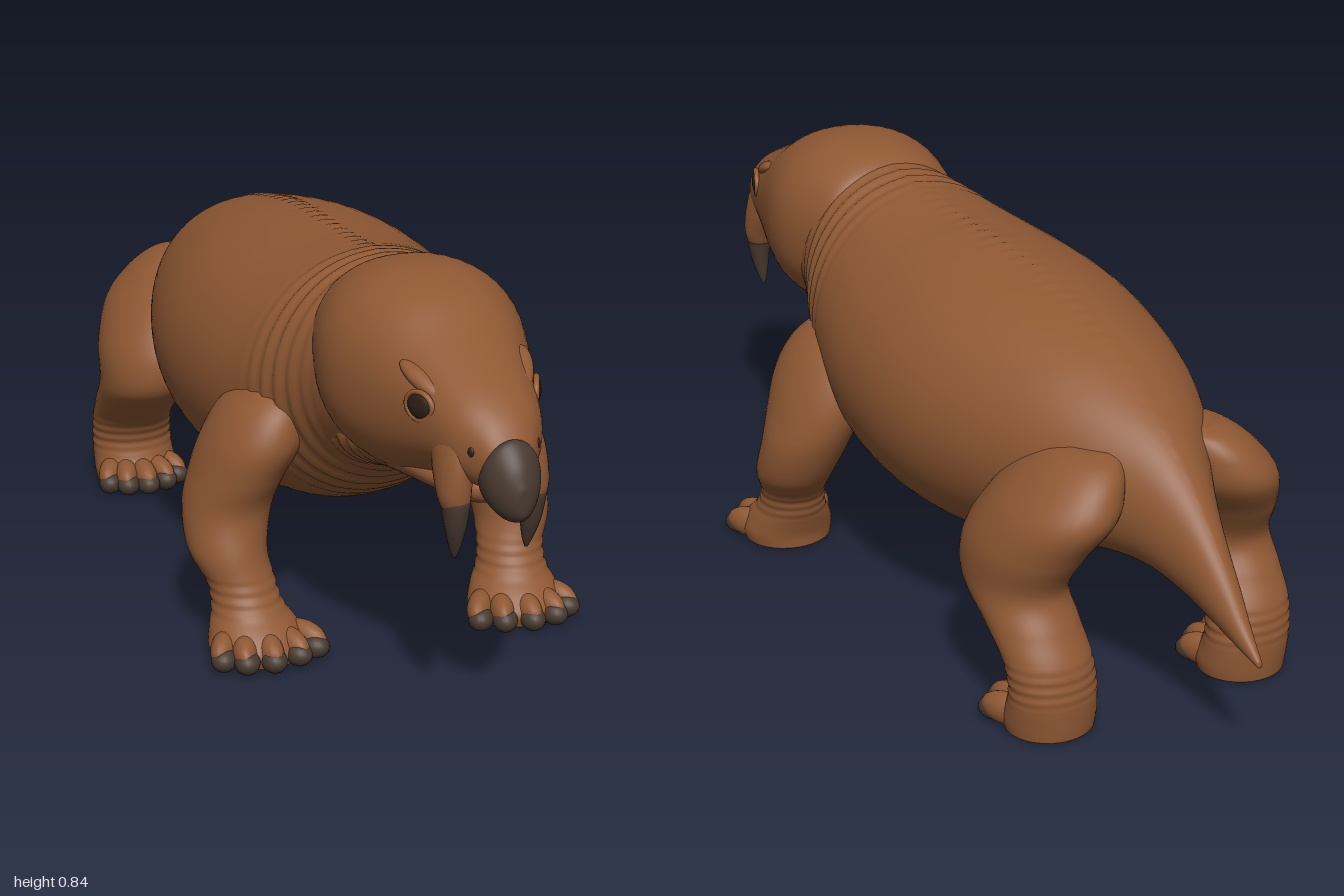
import * as THREE from 'three';

const mat = (name, color) => {
  const m = new THREE.MeshStandardMaterial({ color });
  m.name = name;
  return m;
};

// Smooth interpolation through rows of numbers
function sampleRows(rows, t) {
  const i = Math.min(Math.floor(t), rows.length - 2), f = t - i;
  const p0 = rows[Math.max(i - 1, 0)], p1 = rows[i], p2 = rows[i + 1];
  const p3 = rows[Math.min(i + 2, rows.length - 1)];
  return p1.map((b, k) => {
    const a = p0[k], c = p2[k], d = p3[k];
    return b + 0.5 * f * (c - a + f * (2 * a - 5 * b + 4 * c - d + f * (3 * (b - c) + d - a)));
  });
}

// Closed skin over rounded sections, stacked along z or up y.
// Row: [position on axis, centre x, other centre, radius x, other radius]
function loft(rows, { axis = 'z', segs = 32, steps = 6, power = 2, relief = () => 1 } = {}) {
  const pos = [], index = [];
  const rings = (rows.length - 1) * steps + 1;
  const put = (p, u, v) => (axis === 'z' ? pos.push(u, v, p) : pos.push(u, p, v));
  const round = (v) => Math.sign(v) * Math.pow(Math.abs(v), 2 / power);
  for (let i = 0; i < rings; i++) {
    const [p, cx, cv, rx, rv] = sampleRows(rows, i / steps);
    for (let j = 0; j < segs; j++) {
      const a = (j / segs) * Math.PI * 2, k = relief(p, a);
      const v = round(Math.sin(a)) * rv * k;
      put(p, cx + round(Math.cos(a)) * rx * k, cv + (axis === 'z' ? v : -v));
    }
  }
  for (let i = 0; i < rings - 1; i++) {
    for (let j = 0; j < segs; j++) {
      const a = i * segs + j, b = i * segs + ((j + 1) % segs);
      index.push(a, b, a + segs, b, b + segs, a + segs);
    }
  }
  // End caps
  const first = rows[0], last = rows[rows.length - 1], c = rings * segs;
  put(first[0], first[1], first[2]);
  put(last[0], last[1], last[2]);
  for (let j = 0; j < segs; j++) {
    const n = (j + 1) % segs, o = (rings - 1) * segs;
    index.push(c, n, j, c + 1, o + j, o + n);
  }
  const g = new THREE.BufferGeometry();
  g.setAttribute('position', new THREE.Float32BufferAttribute(pos, 3));
  g.setIndex(index);
  g.computeVertexNormals();
  return g;
}

// Turns [z, bottom, top, half width] into loft rows
const spans = (list) => list.map(([z, lo, hi, w]) => [z, 0, (lo + hi) / 2, w, (hi - lo) / 2]);

// Skin folds that fade in and out between two positions
const folds = (p, from, to, pitch, size) =>
  p > from && p < to
    ? size * Math.sin(((p - from) / (to - from)) * Math.PI) * Math.sin((p * Math.PI * 2) / pitch) : 0;

export function createModel() {
  const model = new THREE.Group();
  const hide = mat('brown hide', 0x8f5833);
  const horn = mat('dark horn', 0x48392f);
  const eyeDark = mat('eye dark', 0x2e2018);

  const add = (parent, name, geometry, material) => {
    const m = new THREE.Mesh(geometry, material);
    m.name = name;
    parent.add(m);
    return m;
  };
  const ball = (parent, name, material, p, s) => {
    const m = add(parent, name, new THREE.SphereGeometry(1, 20, 14), material);
    m.position.set(...p);
    m.scale.set(...s);
    return m;
  };

  // Barrel body with tail, neck folds and a beaded ridge down the back
  const bodyRows = spans([
    [-1, 0.232, 0.245, 0.006], [-0.95, 0.245, 0.3, 0.018], [-0.9, 0.26, 0.365, 0.03],
    [-0.8, 0.29, 0.48, 0.056], [-0.7, 0.31, 0.575, 0.1], [-0.6, 0.305, 0.64, 0.162],
    [-0.5, 0.275, 0.688, 0.215], [-0.4, 0.24, 0.72, 0.255], [-0.3, 0.213, 0.743, 0.285],
    [-0.2, 0.197, 0.76, 0.306], [-0.1, 0.191, 0.77, 0.315], [0, 0.195, 0.775, 0.312],
    [0.1, 0.21, 0.778, 0.3], [0.2, 0.238, 0.785, 0.276], [0.3, 0.295, 0.795, 0.242],
    [0.4, 0.37, 0.8, 0.2], [0.5, 0.42, 0.78, 0.165], [0.6, 0.46, 0.7, 0.1],
  ]);
  add(model, 'body', loft(bodyRows, {
    segs: 72, steps: 14,
    relief: (z, a) => 1 + folds(z, 0.22, 0.44, 0.036, 0.014)
      + (z > -0.9 ? 0.014 * Math.abs(Math.sin(z * 85)) * Math.exp(-(((a - Math.PI / 2) / 0.05) ** 2)) : 0),
  }), hide);

  // Skull, broad at the cheeks and tapering to the muzzle
  const head = new THREE.Group();
  head.name = 'head';
  model.add(head);
  add(head, 'skull', loft(spans([
    [0.352, 0.56, 0.77, 0.13], [0.372, 0.51, 0.803, 0.165], [0.42, 0.47, 0.825, 0.185],
    [0.49, 0.45, 0.836, 0.201], [0.56, 0.445, 0.832, 0.198], [0.64, 0.452, 0.81, 0.174],
    [0.72, 0.48, 0.766, 0.145], [0.8, 0.51, 0.727, 0.118], [0.87, 0.518, 0.692, 0.094],
    [0.915, 0.522, 0.658, 0.066], [0.942, 0.54, 0.624, 0.044], [0.955, 0.56, 0.6, 0.025],
  ]), { segs: 56, power: 2.25 }), hide);
  add(head, 'lowerJaw', loft(spans([
    [0.36, 0.36, 0.6, 0.16], [0.45, 0.4, 0.58, 0.15], [0.55, 0.43, 0.56, 0.13],
    [0.65, 0.446, 0.55, 0.11], [0.75, 0.458, 0.535, 0.086], [0.82, 0.465, 0.53, 0.06],
    [0.855, 0.475, 0.525, 0.04], [0.87, 0.49, 0.515, 0.018],
  ]), { steps: 14, segs: 40, relief: (z) => 1 + folds(z, 0.36, 0.6, 0.035, 0.016) }), hide);
  add(head, 'beak', loft(spans([
    [0.9, 0.51, 0.56, 0.045], [0.925, 0.492, 0.61, 0.056], [0.945, 0.483, 0.63, 0.056],
    [0.965, 0.48, 0.617, 0.048], [0.985, 0.486, 0.59, 0.033], [0.997, 0.498, 0.56, 0.017],
    [1, 0.51, 0.55, 0.008],
  ]), { segs: 40 }), horn);

  // Tusks in their sheaths, eyes, brows and nostrils
  for (const s of [1, -1]) {
    const side = s > 0 ? 'left' : 'right';
    add(head, side + 'TuskSheath', loft([
      [0.482, s * 0.076, 0.866, 0.026, 0.029], [0.51, s * 0.077, 0.862, 0.032, 0.038],
      [0.56, s * 0.075, 0.846, 0.034, 0.052], [0.61, s * 0.07, 0.83, 0.03, 0.055],
      [0.65, s * 0.064, 0.82, 0.015, 0.03],
    ], { axis: 'y', segs: 24 }), hide);
    add(head, side + 'Tusk', loft([
      [0.378, s * 0.072, 0.858, 0.003, 0.003], [0.4, s * 0.073, 0.861, 0.011, 0.012],
      [0.44, s * 0.075, 0.867, 0.02, 0.022], [0.49, s * 0.076, 0.868, 0.027, 0.031],
      [0.505, s * 0.076, 0.866, 0.025, 0.027],
    ], { axis: 'y', segs: 20 }), horn);

    const eye = new THREE.Group();
    eye.name = side + 'Eye';
    eye.position.set(s * 0.116, 0.655, 0.79);
    eye.rotation.y = s * 1.15;
    head.add(eye);
    ball(eye, 'eyeball', eyeDark, [0, 0, 0], [0.03, 0.025, 0.01]);
    const lid = add(eye, 'eyelid', new THREE.TorusGeometry(0.032, 0.006, 10, 28), hide);
    lid.scale.y = 0.85;
    const brow = ball(head, side + 'Brow', hide, [s * 0.098, 0.693, 0.765], [0.022, 0.016, 0.065]);
    brow.rotation.set(0.4, -s * 0.35, 0);
    ball(head, side + 'Nostril', eyeDark, [s * 0.064, 0.602, 0.908], [0.007, 0.012, 0.01]);
  }

  // Sprawling limbs, listed from the sole upward: [y, x, z, radius x, radius z]
  const limbs = {
    front: {
      rows: [
        [0.004, 0.281, 0.36, 0.095, 0.09], [0.03, 0.282, 0.362, 0.1, 0.094],
        [0.06, 0.284, 0.347, 0.09, 0.088], [0.095, 0.289, 0.322, 0.073, 0.075],
        [0.14, 0.295, 0.3, 0.069, 0.07], [0.2, 0.31, 0.262, 0.08, 0.088],
        [0.28, 0.299, 0.23, 0.09, 0.1], [0.35, 0.276, 0.228, 0.093, 0.122],
        [0.42, 0.245, 0.235, 0.098, 0.134], [0.48, 0.222, 0.238, 0.085, 0.118],
        [0.52, 0.2, 0.245, 0.06, 0.08], [0.535, 0.185, 0.25, 0.03, 0.04],
      ],
      toes: [[0.186, 0.41], [0.227, 0.433], [0.28, 0.446], [0.33, 0.436], [0.366, 0.408]],
      heel: [0.279, 0.3],
    },
    hind: {
      rows: [
        [0.004, 0.228, -0.635, 0.09, 0.084], [0.03, 0.228, -0.635, 0.094, 0.087],
        [0.07, 0.23, -0.648, 0.092, 0.076], [0.11, 0.232, -0.65, 0.09, 0.072],
        [0.16, 0.235, -0.632, 0.09, 0.08], [0.215, 0.238, -0.582, 0.092, 0.098],
        [0.28, 0.238, -0.522, 0.096, 0.126], [0.36, 0.222, -0.535, 0.108, 0.152],
        [0.44, 0.187, -0.572, 0.112, 0.16], [0.5, 0.157, -0.585, 0.092, 0.135],
        [0.54, 0.132, -0.595, 0.065, 0.09], [0.555, 0.118, -0.6, 0.035, 0.045],
      ],
      toes: [[0.158, -0.575], [0.19, -0.548], [0.232, -0.535], [0.274, -0.545], [0.306, -0.57]],
      heel: [0.23, -0.69],
    },
  };
  for (const [place, { rows, toes, heel }] of Object.entries(limbs)) {
    for (const s of [1, -1]) {
      const leg = new THREE.Group();
      leg.name = place + (s > 0 ? 'Left' : 'Right') + 'Leg';
      model.add(leg);
      add(leg, 'limb', loft(rows.map(([y, x, z, a, b]) => [y, s * x, z, a, b]), {
        axis: 'y', segs: 40, steps: 10,
        relief: (y) => 1 + folds(y, 0.07, 0.17, 0.022, 0.018),
      }), hide);
      // Five fanned toes tipped with blunt claws
      for (const [x, z] of toes) {
        const yaw = Math.atan2(s * (x - heel[0]), z - heel[1]) * 0.8;
        const toe = ball(leg, 'toe', hide, [s * x - Math.sin(yaw) * 0.015, 0.034, z - 0.025],
          [0.027, 0.034, 0.058]);
        toe.rotation.y = yaw;
        ball(leg, 'claw', horn, [s * x + Math.sin(yaw) * 0.01, 0.024, z + 0.01],
          [0.026, 0.024, 0.031]).rotation.y = yaw;
      }
    }
  }
  return model;
}
